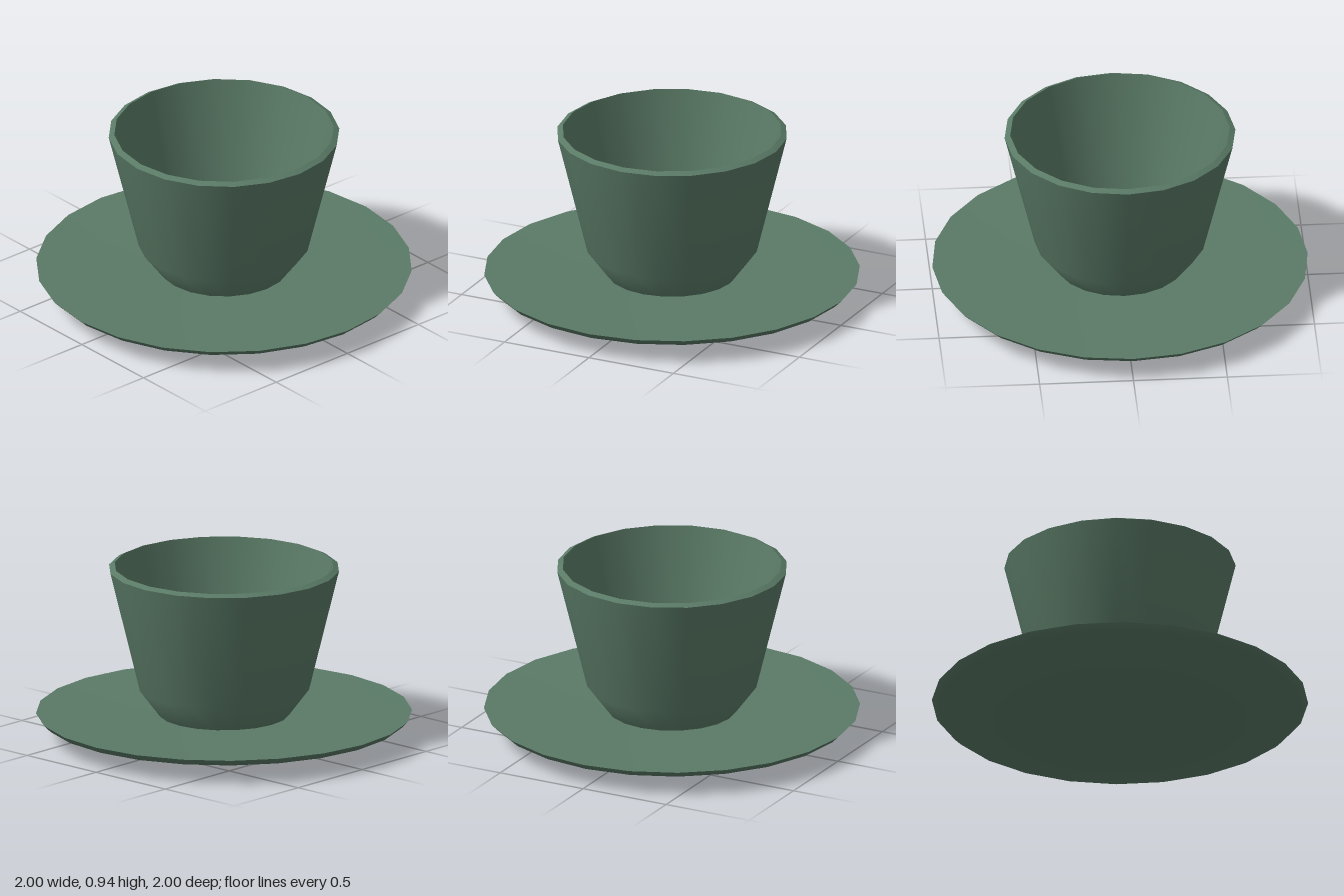
import * as THREE from 'three';

const SAUCER_SIDES = 24;
const CUP_SIDES = 20;

export function createModel() {
  const model = new THREE.Group();
  model.name = 'cupAndSaucer';
  const green = new THREE.MeshStandardMaterial({ color: 0x5a7a66 });
  green.name = 'muted green';

  // Each smooth band is its own lathe, so edges between bands stay sharp
  const band = (group, name, sides, profile) => {
    const points = profile.map(([r, y]) => new THREE.Vector2(r, y));
    const mesh = new THREE.Mesh(new THREE.LatheGeometry(points, sides), green);
    mesh.name = name;
    group.add(mesh);
  };

  // Saucer: rounded underside and a very shallow top
  const saucer = new THREE.Group();
  saucer.name = 'saucer';
  band(saucer, 'saucerUnderside', SAUCER_SIDES, [[0, 0], [0.58, 0.005], [0.965, 0.1], [1, 0.135]]);
  band(saucer, 'saucerTop', SAUCER_SIDES, [[1, 0.135], [0.5, 0.126], [0, 0.122]]);

  // Cup: tapered wall, bevelled lip and hollow inside
  const cup = new THREE.Group();
  cup.name = 'cup';
  band(cup, 'cupOuterWall', CUP_SIDES, [[0.335, 0.11], [0.455, 0.27], [0.615, 0.925]]);
  band(cup, 'cupLip', CUP_SIDES, [[0.615, 0.925], [0.585, 0.94]]);
  band(cup, 'cupInnerWall', CUP_SIDES, [[0.585, 0.94], [0.415, 0.25]]);
  band(cup, 'cupFloor', CUP_SIDES, [[0.415, 0.25], [0, 0.25]]);

  model.add(saucer, cup);
  return model;
}
